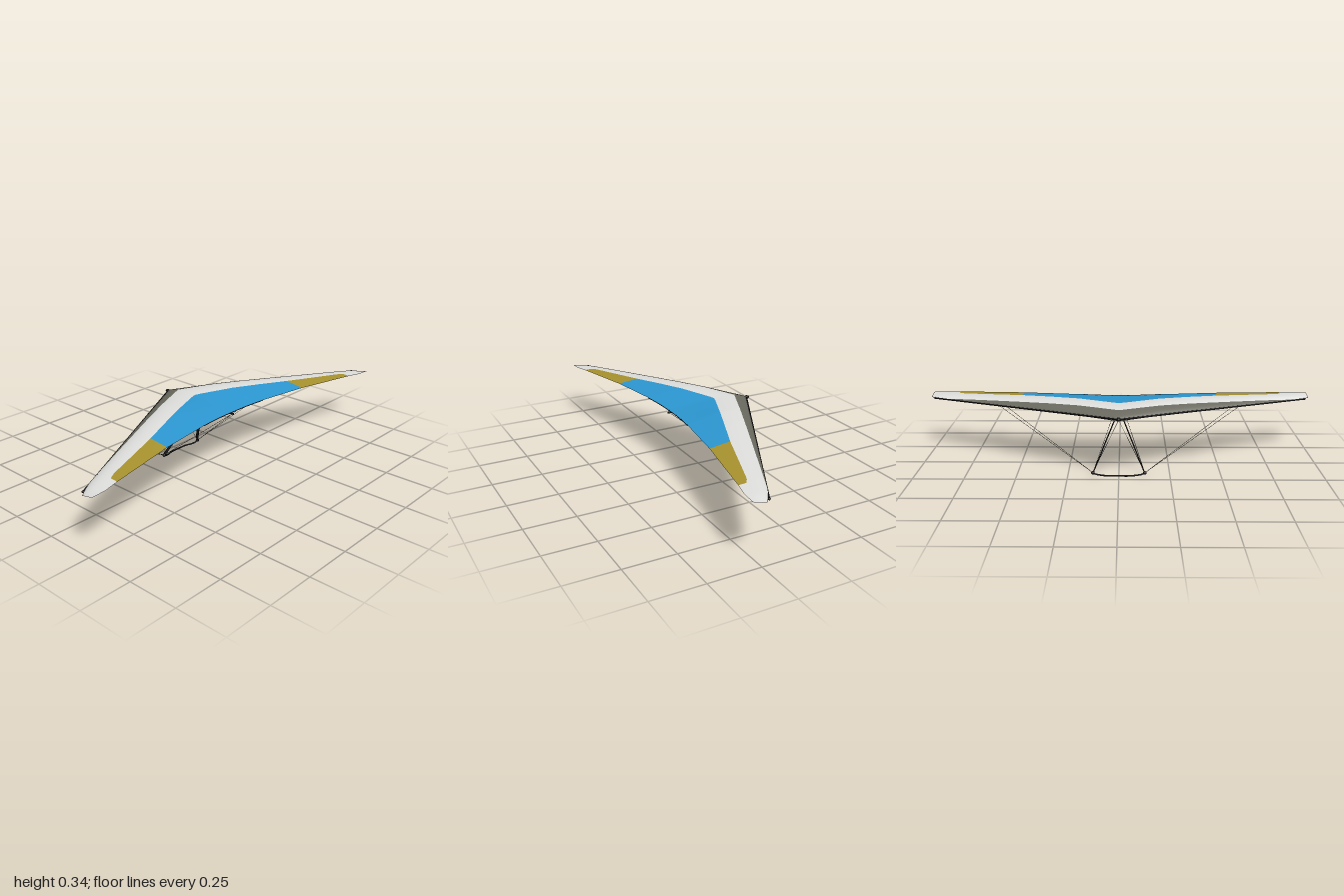
import * as THREE from 'three';

const mat = (name, color) => {
  const m = new THREE.MeshStandardMaterial({ color });
  m.name = name;
  return m;
};

// piecewise-linear lookup over [x, value] pairs
const lookup = (pts) => (x) => {
  const a = Math.abs(x);
  for (let i = 1; i < pts.length; i++) {
    const [x0, v0] = pts[i - 1], [x1, v1] = pts[i];
    if (a <= x1 + 1e-6) return v0 + ((v1 - v0) * (a - x0)) / (x1 - x0);
  }
  return pts[pts.length - 1][1];
};

// planform lines (z by span)
const leadZ = (x) => -0.28 + 0.5 * Math.abs(x) + 1.5 * Math.max(0, Math.abs(x) - 0.9) ** 2;
const trailZ = lookup([[0, 0.157], [0.1, 0.16], [0.2, 0.17], [0.5, 0.213], [0.85, 0.277], [0.93, 0.295], [1, 0.295]]);
const bandZ = (x) => Math.max(leadZ(x) + 0.002, -0.21 + 0.425 * Math.abs(x));
const upperColourZ = lookup([[0, -0.09], [0.025, -0.083], [0.5, 0.108], [0.8, 0.212], [0.825, 0.222], [0.85, 0.238]]);
const lowerColourZ = lookup([[0, -0.1], [0.025, -0.094], [0.45, 0.08], [0.5, 0.112], [0.525, 0.145], [0.55, 0.198], [0.85, 0.262]]);

// heights by span
const leadY = (x) => 0.312 - 0.029 * Math.abs(x);
const trailY = lookup([[0, 0.314], [0.2, 0.317], [0.5, 0.315], [0.85, 0.303], [1, 0.296]]);
const camber = lookup([[0, 0.028], [0.1, 0.031], [0.2, 0.034], [0.35, 0.031], [0.5, 0.025], [0.8, 0.014], [0.95, 0.008], [1, 0.001]]);
const belly = lookup([[0, 0.027], [0.1, 0.02], [0.3, 0.011], [0.6, 0.007], [0.95, 0.004], [1, 0.001]]);

function sailY(x, z, top) {
  const t = THREE.MathUtils.clamp((z - leadZ(x)) / (trailZ(x) - leadZ(x)), 0, 1);
  const chord = leadY(x) + (trailY(x) - leadY(x)) * t;
  return top
    ? chord + camber(x) * Math.sin(Math.PI * t ** 0.6)
    : chord - belly(x) * Math.sin(Math.PI * t ** 0.5);
}

// sail panel between two span stations and two planform lines
function panel(xa, xb, za, zb, top) {
  const nx = Math.round((xb - xa) / 0.025), nz = 14;
  const pos = [], index = [];
  for (let i = 0; i <= nx; i++) {
    const x = xa + ((xb - xa) * i) / nx;
    for (let j = 0; j <= nz; j++) {
      const u = za === leadZ ? (j / nz) ** 2 : j / nz;
      const z = za(x) + (zb(x) - za(x)) * u;
      pos.push(x, sailY(x, z, top), z);
      if (i < nx && j < nz) {
        const a = i * (nz + 1) + j, b = a + 1, c = a + nz + 1, d = c + 1;
        if (top) index.push(a, b, c, b, d, c);
        else index.push(a, c, b, b, c, d);
      }
    }
  }
  const g = new THREE.BufferGeometry();
  g.setAttribute('position', new THREE.Float32BufferAttribute(pos, 3));
  g.setIndex(index);
  g.computeVertexNormals();
  return g;
}

// straight rod between two points
function rod(a, b, r, sides = 8) {
  const va = new THREE.Vector3(...a), vb = new THREE.Vector3(...b);
  const dir = vb.clone().sub(va);
  const g = new THREE.CylinderGeometry(r, r, dir.length(), sides);
  g.applyQuaternion(new THREE.Quaternion().setFromUnitVectors(new THREE.Vector3(0, 1, 0), dir.normalize()));
  return g.translate(...va.add(vb).multiplyScalar(0.5).toArray());
}

const curve = (pts) => new THREE.CatmullRomCurve3(pts.map((p) => new THREE.Vector3(...p)));

export function createModel() {
  const white = mat('white sail', 0xe0e0de);
  const under = mat('pale undersurface', 0xcacac8);
  const grey = mat('leading edge grey', 0x6a6a60);
  const blue = mat('blue sail', 0x2c98d2);
  const gold = mat('gold sail', 0xa8932e);
  const black = mat('black frame', 0x1a1a1a);
  const wire = mat('wire', 0x3a3a3a);

  const model = new THREE.Group();
  model.name = 'hangGlider';
  const add = (name, geometry, material) => {
    const m = new THREE.Mesh(geometry, material);
    m.name = name;
    model.add(m);
    return m;
  };

  // upper surface
  add('leadingEdgeBand', panel(-1, 1, leadZ, bandZ, true), grey);
  add('upperSail', panel(-0.85, 0.85, bandZ, upperColourZ, true), white);
  add('upperCentrePanel', panel(-0.5, 0.5, upperColourZ, trailZ, true), blue);
  // lower surface
  add('lowerSail', panel(-0.85, 0.85, leadZ, lowerColourZ, false), under);
  add('lowerCentrePanel', panel(-0.55, 0.55, lowerColourZ, trailZ, false), blue);
  // outer panels and tips
  for (const [side, s] of [['left', 1], ['right', -1]]) {
    const span = (a, b) => (s > 0 ? [a, b] : [-b, -a]);
    add(side + 'UpperOuterPanel', panel(...span(0.5, 0.85), upperColourZ, trailZ, true), gold);
    add(side + 'LowerOuterPanel', panel(...span(0.55, 0.85), lowerColourZ, trailZ, false), gold);
    add(side + 'UpperTip', panel(...span(0.85, 1), bandZ, trailZ, true), white);
    add(side + 'LowerTip', panel(...span(0.85, 1), leadZ, trailZ, false), black);

    // leading edge tube with its end cap
    const tubeEnd = [s * 0.975, 0.283, 0.211];
    add(side + 'LeadingEdgeTube', rod([0, 0.311, -0.283], tubeEnd, 0.004), black);
    add(side + 'TubeCap', new THREE.SphereGeometry(0.006, 12, 8).translate(...tubeEnd), black);

    // flattened, slightly curved upright, sheared outwards to the bar corner
    const upright = new THREE.TubeGeometry(curve([
      [0, 0.297, -0.049], [0, 0.21, -0.09], [0, 0.15, -0.119],
      [0, 0.105, -0.149], [0, 0.06, -0.173], [0, 0.012, -0.193],
    ]), 30, 0.008, 10);
    const p = upright.attributes.position;
    for (let i = 0; i < p.count; i++) {
      p.setX(i, p.getX(i) * 0.4 + (s * 0.127 * (0.297 - p.getY(i))) / 0.285);
    }
    upright.computeVertexNormals();
    add(side + 'Upright', upright, black);
    const corner = [s * 0.127, 0.014, -0.193];
    add(side + 'BarCorner', new THREE.SphereGeometry(0.009, 12, 8).translate(...corner), black);

    // rigging wires
    const anchors = [[0, 0.306, -0.272], [0, 0.305, 0.158], [s * 0.57, 0.296, 0.006], [s * 0.61, 0.295, 0.027]];
    anchors.forEach((a, i) => add(side + 'Wire' + (i + 1), rod(corner, a, 0.0009, 5), wire));
  }

  // keel, nose and apex fittings
  add('keel', rod([0, 0.311, -0.29], [0, 0.307, 0.168], 0.005), black);
  const nose = add('noseFitting', new THREE.SphereGeometry(0.009, 16, 10), black);
  nose.scale.z = 1.6;
  nose.position.set(0, 0.312, -0.283);
  add('apexFitting', new THREE.SphereGeometry(0.009, 12, 8).translate(0, 0.297, -0.05), black);

  // dark hem along the middle of the trailing edge
  const hem = [-0.22, -0.15, -0.08, 0, 0.08, 0.15, 0.22].map((x) => [x, trailY(x) - 0.001, trailZ(x)]);
  add('trailingHem', new THREE.TubeGeometry(curve(hem), 30, 0.002, 6), black);

  // curved base bar
  add('baseBar', new THREE.TubeGeometry(curve([
    [-0.127, 0.014, -0.193], [-0.112, 0.007, -0.195], [-0.088, 0.004, -0.2], [-0.05, 0.004, -0.21], [0, 0.004, -0.21],
    [0.05, 0.004, -0.21], [0.088, 0.004, -0.2], [0.112, 0.007, -0.195], [0.127, 0.014, -0.193],
  ]), 60, 0.004, 8), black);

  return model;
}
